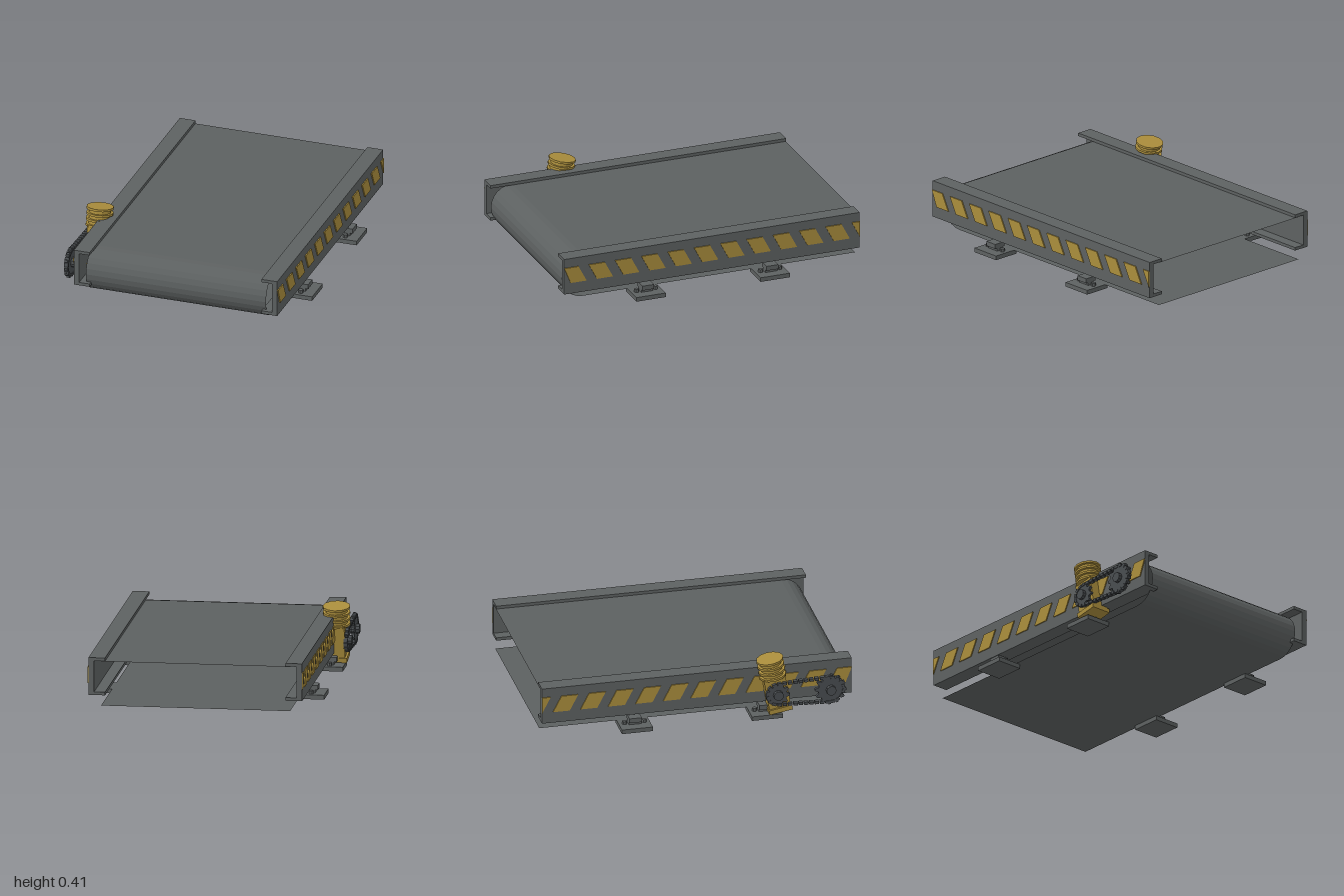
import * as THREE from 'three';

export function createModel() {
  const model = new THREE.Group();
  const MID = 0.0175; // centre line of the frame
  const paint = (name, color) => {
    const m = new THREE.MeshStandardMaterial({ color });
    m.name = name;
    return m;
  };
  const steel = paint('grey steel', 0x5d6161);
  const rubber = paint('grey belt rubber', 0x5c6060);
  rubber.side = THREE.DoubleSide;
  const yellow = paint('safety yellow', 0xaa8d3c);
  const dark = paint('dark chain steel', 0x494d50);

  const add = (parent, name, geo, mat, x = 0, y = 0, z = 0) => {
    const mesh = new THREE.Mesh(geo, mat);
    mesh.name = name;
    mesh.position.set(x, y, z);
    parent.add(mesh);
    return mesh;
  };
  const flat = (geo) => {
    const g = geo.toNonIndexed();
    g.computeVertexNormals();
    return g;
  };
  const polygon = (pts) => new THREE.Shape(pts.map((p) => new THREE.Vector2(...p)));
  const group = (name, parent = model) => {
    const g = new THREE.Group();
    g.name = name;
    parent.add(g);
    return g;
  };

  // Belt: flat top and bottom runs joined by a faceted half-round nose
  const ROWS = 14, R = 0.142, NOSE = 0.843, BELT_Y = 0.171;
  const belt = new THREE.PlaneGeometry(1.2, 1, 1, ROWS);
  const pos = belt.attributes.position;
  for (let i = 0; i < pos.count; i++) {
    const row = Math.floor(i / 2);
    const a = Math.PI * THREE.MathUtils.clamp((row - 1) / (ROWS - 2), 0, 1);
    const z = row === 0 || row === ROWS ? -1 : NOSE + R * Math.sin(a);
    pos.setXYZ(i, pos.getX(i) + 0.015, BELT_Y + R * Math.cos(a), z);
  }
  add(model, 'belt', flat(belt), rubber);

  // Hazard stripe: slanted plate, trimmed at the rail ends
  const stripe = (start) => {
    const c = (z) => THREE.MathUtils.clamp(z, -1, 1);
    const shape = polygon([
      [c(start), 0.275], [c(start - 0.108), 0.275],
      [c(start - 0.163), 0.17], [c(start - 0.055), 0.17],
    ]);
    return new THREE.ExtrudeGeometry(shape, { depth: 0.007, bevelEnabled: false }).rotateY(-Math.PI / 2);
  };

  for (const side of [1, -1]) {
    const label = side > 0 ? 'left' : 'right';
    const at = (d) => MID + side * d;

    // C-channel side rail, open towards the belt
    const rail = group(label + 'Rail');
    add(rail, 'web', new THREE.BoxGeometry(0.035, 0.24, 2), steel, at(0.66), 0.215, 0);
    for (const y of [0.325, 0.105])
      add(rail, 'flange', new THREE.BoxGeometry(0.07, 0.02, 2), steel, at(0.6075), y, 0);

    const stripes = group(label + 'Stripes');
    for (let i = 0; i < 12; i++)
      add(stripes, 'stripe', stripe(1.013 - i * 0.178), yellow, side > 0 ? 0.702 : -0.66);

    // Mounting feet with a block and two bolts
    for (const z of [0.44, -0.4]) {
      const foot = group(label + 'Foot');
      foot.position.z = z;
      add(foot, 'basePlate', new THREE.BoxGeometry(0.176, 0.028, 0.2), steel, at(0.66), 0.014, 0);
      add(foot, 'block', new THREE.BoxGeometry(0.045, 0.03, 0.08), steel, at(0.66), 0.04, 0);
      add(foot, 'blockCap', new THREE.BoxGeometry(0.08, 0.03, 0.08), steel, at(0.66), 0.062, 0);
      for (const dz of [-0.064, 0.064])
        add(foot, 'bolt', flat(new THREE.CylinderGeometry(0.016, 0.016, 0.02, 6)), steel, at(0.66), 0.038, dz);
    }
  }

  // Drive motor: leaning gearbox with a finned round housing
  const motor = group('motor');
  motor.position.set(-0.672, 0.045, 0.527);
  motor.rotation.x = -0.17;
  const drum = (r, h) => flat(new THREE.CylinderGeometry(r, r, h, 12));
  add(motor, 'gearboxFoot', new THREE.BoxGeometry(0.138, 0.03, 0.15), yellow, 0, 0.015, 0);
  add(motor, 'gearbox', new THREE.BoxGeometry(0.112, 0.21, 0.14), yellow, 0, 0.135, 0);
  add(motor, 'housing', drum(0.07, 0.115), yellow, 0, 0.292, 0);
  for (let i = 0; i < 4; i++)
    add(motor, 'coolingFin', drum(0.087, 0.014), yellow, 0, 0.237 + i * 0.037, 0);

  // Toothed sprockets, with their axles along x
  const AXLE_Y = 0.17, CHAIN_X = -0.735;
  const sprocket = (name, z, root, tip, teeth) => {
    const pts = [];
    for (let i = 0; i < teeth * 4; i++) {
      const a = (i / (teeth * 4)) * Math.PI * 2;
      const r = i % 4 < 2 ? tip : root;
      pts.push([r * Math.cos(a), r * Math.sin(a)]);
    }
    const wheel = group(name);
    wheel.position.set(CHAIN_X, AXLE_Y, z);
    const gear = new THREE.ExtrudeGeometry(polygon(pts), { depth: 0.02, bevelEnabled: false });
    add(wheel, 'teeth', gear.translate(0, 0, -0.01).rotateY(Math.PI / 2), dark);
    const rod = (r, len) => flat(new THREE.CylinderGeometry(r, r, len, 10).rotateZ(Math.PI / 2));
    add(wheel, 'hub', rod(0.032, 0.066), dark);
    add(wheel, 'axle', rod(0.018, 0.15), yellow, 0.072);
  };
  const BIG = { z: 0.845, r: 0.085 }, SMALL = { z: 0.505, r: 0.07 };
  sprocket('drivenSprocket', BIG.z, 0.08, 0.102, 12);
  sprocket('motorSprocket', SMALL.z, 0.06, 0.078, 10);

  // Chain links spaced along the loop around both sprockets
  const b = Math.PI / 2 + Math.asin((BIG.r - SMALL.r) / (BIG.z - SMALL.z));
  const loop = new THREE.Path();
  loop.absarc(BIG.z, AXLE_Y, BIG.r, -b, b, false);
  loop.absarc(SMALL.z, AXLE_Y, SMALL.r, b, 2 * Math.PI - b, false);
  loop.closePath();
  const LINKS = 34;
  const points = loop.getSpacedPoints(LINKS);
  const chain = group('chain');
  const linkGeo = new THREE.BoxGeometry(0.028, 0.018, 0.026);
  for (let i = 0; i < LINKS; i++) {
    const p = points[i], q = points[i + 1];
    const link = add(chain, 'chainLink', linkGeo, dark, CHAIN_X, (p.y + q.y) / 2, (p.x + q.x) / 2);
    link.rotation.x = -Math.atan2(q.y - p.y, q.x - p.x);
  }

  return model;
}
